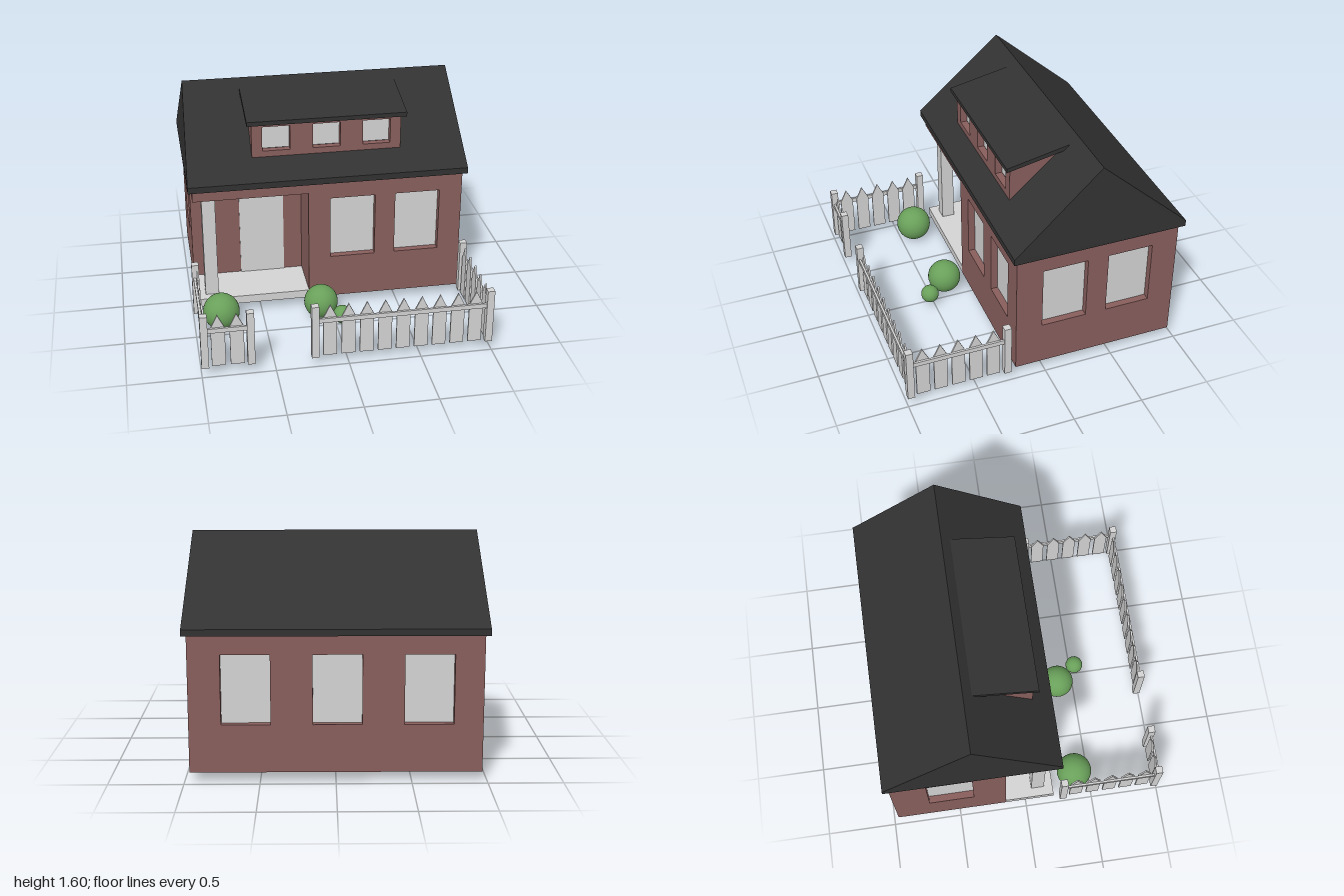
import * as THREE from 'three';

const mat = (name, color, side = THREE.FrontSide) => {
  const m = new THREE.MeshStandardMaterial({ color, side });
  m.name = name;
  return m;
};

export function createModel() {
  const brick = mat('brick', 0x885f5d, THREE.DoubleSide);
  const roofing = mat('roofing', 0x323232);
  const white = mat('white paint', 0xd4d4d4, THREE.DoubleSide);
  const leaf = mat('leaf green', 0x69a05a);

  const house = new THREE.Group();
  house.name = 'house';

  const add = (parent, name, geometry, material, x = 0, y = 0, z = 0) => {
    const m = new THREE.Mesh(geometry, material);
    m.name = name;
    m.position.set(x, y, z);
    parent.add(m);
    return m;
  };
  const box = (parent, name, material, x0, x1, y0, y1, z0, z1) =>
    add(parent, name, new THREE.BoxGeometry(x1 - x0, y1 - y0, z1 - z0), material,
      (x0 + x1) / 2, (y0 + y1) / 2, (z0 + z1) / 2);
  const toShape = (pts) => new THREE.Shape(pts.map(([x, y]) => new THREE.Vector2(x, y)));
  const rect = (x0, x1, y0, y1) => [[x0, y0], [x1, y0], [x1, y1], [x0, y1]];

  // Extrudes a (z, y) profile along x, centred on x = 0
  const alongX = (pts, width) => new THREE.ExtrudeGeometry(toShape(pts), { depth: width, bevelEnabled: false })
    .rotateY(-Math.PI / 2).translate(width / 2, 0, 0);

  // Open-ended square tube lining a window opening
  const lining = (w, h, d) => {
    const g = new THREE.CylinderGeometry(Math.SQRT1_2, Math.SQRT1_2, 1, 4, 1, true)
      .rotateY(Math.PI / 4).rotateX(Math.PI / 2).scale(w, h, d).toNonIndexed();
    g.computeVertexNormals();
    return g;
  };

  // Flat wall with recessed windows; local x runs along the wall, +z is outward
  const DEPTH = 0.05;
  const wall = (name, outline, windows, x, z, turn) => {
    const g = new THREE.Group();
    g.name = name;
    const shape = toShape(outline);
    for (const [u0, u1, v0, v1] of windows) {
      const w = u1 - u0, h = v1 - v0, u = (u0 + u1) / 2, v = (v0 + v1) / 2;
      shape.holes.push(toShape(rect(u0, u1, v0, v1).reverse()));
      add(g, 'windowReveal', lining(w, h, DEPTH), brick, u, v, -DEPTH / 2);
      add(g, 'windowPane', new THREE.PlaneGeometry(w, h), white, u, v, -DEPTH);
    }
    add(g, name + 'Surface', new THREE.ShapeGeometry(shape), brick);
    g.position.set(x, 0, z);
    g.rotation.y = turn;
    house.add(g);
  };

  // Main walls, with a porch cut out of the front corner
  const W = 0.965, F = 0.21, B = -0.965, Y0 = 0.075, Y1 = 1.0;
  const PX = -0.15, PZ = -0.15, PY = 0.92;
  const win = (u) => [u - 0.162, u + 0.162, 0.4, 0.87];
  wall('frontWall', [[PX, Y0], [W, Y0], [W, Y1], [-W, Y1], [-W, PY], [PX, PY]],
    [0.17, 0.64].map(win), 0, F, 0);
  wall('leftWall', rect(-F, -B, Y0, Y1), [0.142, 0.617].map(win), W, 0, Math.PI / 2);
  wall('backWall', rect(-W, W, Y0, Y1), [-0.59, 0.01, 0.61].map(win), 0, B, Math.PI);
  wall('rightWall', [[B, Y0], [PZ, Y0], [PZ, PY], [F, PY], [F, Y1], [B, Y1]],
    [win(-0.548)], -W, 0, -Math.PI / 2);

  // Porch
  wall('porchBackWall', rect(-W, PX, Y0, PY), [], 0, PZ, 0);
  wall('porchSideWall', rect(PZ, F, Y0, PY), [], PX, 0, -Math.PI / 2);
  add(house, 'porchCeiling', new THREE.PlaneGeometry(PX + W, F - PZ).rotateX(Math.PI / 2), brick,
    (PX - W) / 2, PY, (F + PZ) / 2);
  box(house, 'porchFloor', white, -W, PX, Y0, 0.135, PZ, F);
  box(house, 'porchColumn', white, -0.9, -0.805, 0.135, PY, 0.05, 0.145);
  box(house, 'door', white, -0.61, -0.285, 0.135, 0.86, PZ, PZ + 0.008);

  // Main roof, its ridge a little shorter than the eaves
  const roof = alongX([[-1, 1], [0.24, 1], [0.24, 1.045], [-0.375, 1.6], [-1, 1.045]], 1.99);
  const p = roof.attributes.position;
  for (let i = 0; i < p.count; i++) {
    if (p.getY(i) > 1.5) p.setX(i, Math.sign(p.getX(i)) * 0.965);
  }
  roof.computeVertexNormals();
  add(house, 'roof', roof, roofing);

  // Dormer
  const DZ = 0.095;
  wall('dormerFront', rect(-0.53, 0.53, 1.175, 1.432),
    [-0.357, 0, 0.357].map((u) => [u - 0.098, u + 0.098, 1.22, 1.4]), 0, DZ, 0);
  for (const s of [-1, 1]) {
    const side = new THREE.ShapeGeometry(toShape([[DZ, 1.175], [DZ, 1.435], [-0.28, 1.512]]));
    add(house, 'dormerSide', side.rotateY(-Math.PI / 2), brick, s * 0.53);
  }
  add(house, 'dormerRoof',
    alongX([[0.13, 1.425], [0.13, 1.456], [-0.315, 1.547], [-0.28, 1.508]].reverse(), 1.13), roofing);

  // Picket fence: each run is built along local x with its outside facing +z
  const picket = new THREE.ExtrudeGeometry(
    toShape([[-0.047, Y0], [0.047, Y0], [0.047, 0.368], [0, 0.465], [-0.047, 0.368]]),
    { depth: 0.012, bevelEnabled: false });
  const fenceRun = (name, u0, u1, first, count, turn) => {
    const g = new THREE.Group();
    g.name = name;
    box(g, 'rail', white, u0, u1, 0.34, 0.373, 0.975, 0.99);
    for (let i = 0; i < count; i++) add(g, 'picket', picket, white, first + i * 0.126, 0, 0.963);
    g.rotation.y = turn;
    house.add(g);
  };
  fenceRun('frontFenceShort', -0.95, -0.69, -0.882, 2, 0);
  fenceRun('frontFenceLong', -0.21, 0.95, -0.129, 9, 0);
  fenceRun('leftFence', -0.95, -0.305, -0.881, 5, Math.PI / 2);
  fenceRun('rightFence', 0.305, 0.95, 0.377, 5, -Math.PI / 2);
  for (const [x, z] of [[-0.975, 0.975], [-0.665, 0.975], [-0.232, 0.975], [0.975, 0.975],
    [-0.975, 0.28], [0.975, 0.28]]) {
    box(house, 'fencePost', white, x - 0.025, x + 0.025, Y0, 0.472, z - 0.025, z + 0.025);
  }

  // Round bushes
  for (const [x, y, z, r] of [[-0.81, 0.135, 0.39, 0.13], [-0.09, 0.135, 0.375, 0.121],
    [0.037, 0.105, 0.53, 0.065]]) {
    add(house, 'bush', new THREE.SphereGeometry(r, 32, 20), leaf, x, y, z);
  }

  return house;
}
